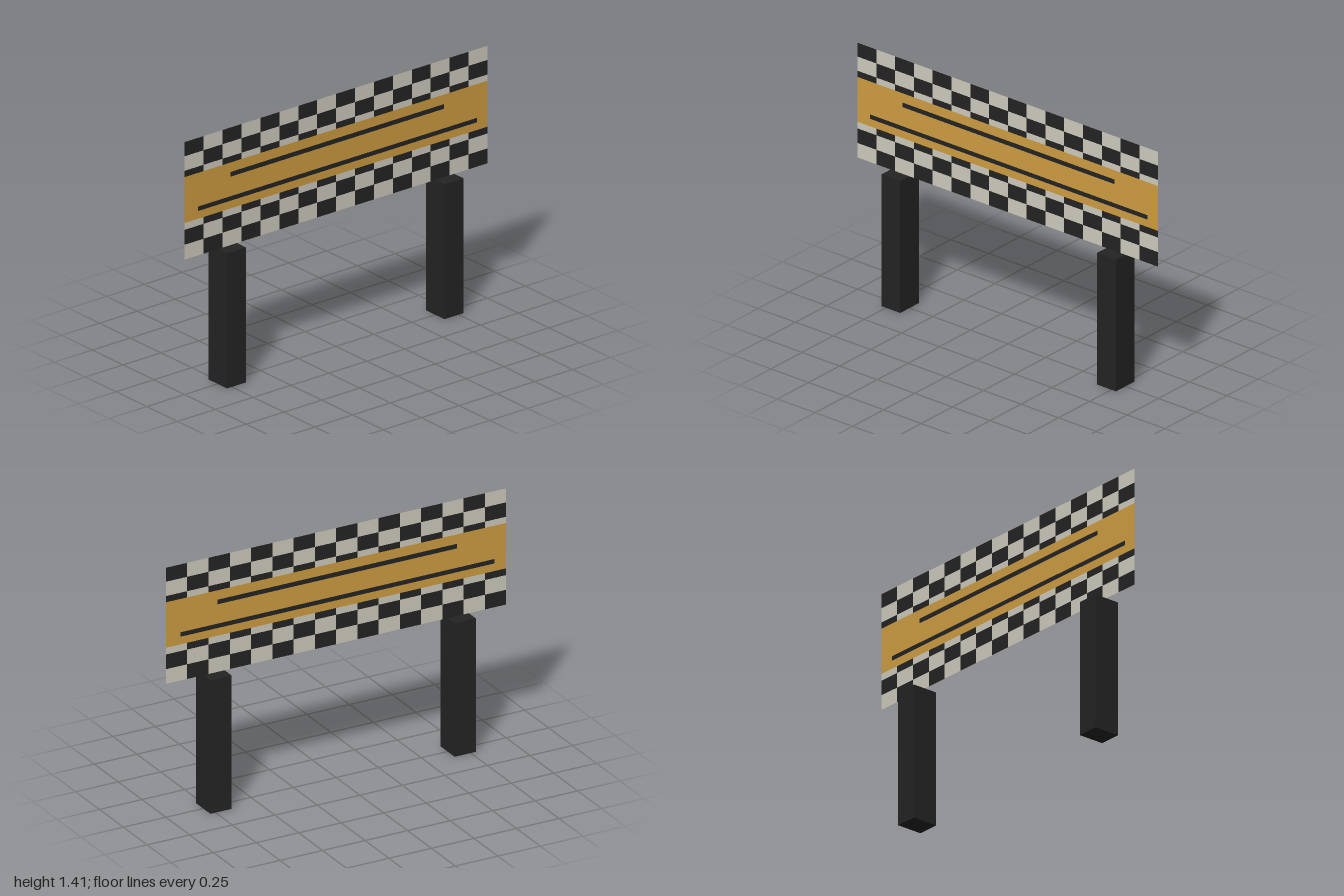
import * as THREE from 'three';
import { mergeGeometries } from 'three/addons/utils/BufferGeometryUtils.js';

// Flat rectangle facing +z, given by its edges
function rect(x0, x1, y0, y1, z) {
  return new THREE.PlaneGeometry(x1 - x0, y1 - y0).translate((x0 + x1) / 2, (y0 + y1) / 2, z);
}

export function createModel() {
  const black = new THREE.MeshStandardMaterial({ color: 0x242424 });
  black.name = 'black';
  const cream = new THREE.MeshStandardMaterial({ color: 0xd0ccbf });
  cream.name = 'cream';
  const amber = new THREE.MeshStandardMaterial({ color: 0xd09e42 });
  amber.name = 'amber';

  const model = new THREE.Group();
  model.name = 'checkeredSign';
  const add = (parent, name, geometry, material) => {
    const mesh = new THREE.Mesh(geometry, material);
    mesh.name = name;
    parent.add(mesh);
    return mesh;
  };

  // Two square posts
  for (const [name, side] of [['leftPost', 1], ['rightPost', -1]]) {
    add(model, name, new THREE.BoxGeometry(0.125, 0.752, 0.15), black).position.set(side * 0.718, 0.376, 0);
  }

  // Checker rows: bottom, top, and whether the first cell is black
  const rows = [
    [1.328, 1.407, true], [1.247, 1.328, false], [1.212, 1.247, true],
    [0.918, 0.956, false], [0.835, 0.918, true], [0.752, 0.835, false],
  ];
  const columns = 16, cell = 2 / columns, z = 0.001;

  // Each side of the thin board carries the same artwork
  for (const [name, turn] of [['frontPanel', 0], ['backPanel', Math.PI]]) {
    const panel = new THREE.Group();
    panel.name = name;
    panel.rotation.y = turn;
    model.add(panel);

    const dark = [], light = [];
    for (const [y0, y1, startsBlack] of rows) {
      for (let i = 0; i < columns; i++) {
        const x = -1 + i * cell;
        const isBlack = (i % 2 === 0) === startsBlack;
        (isBlack ? dark : light).push(rect(x, x + cell, y0, y1, z));
      }
    }
    add(panel, 'blackChecks', mergeGeometries(dark), black);
    add(panel, 'creamChecks', mergeGeometries(light), cream);

    // Amber band with two thin dark bars
    add(panel, 'amberBand', rect(-1, 1, 0.956, 1.212, z), amber);
    add(panel, 'upperBar', rect(-0.698, 0.711, 1.134, 1.16, z + 0.002), black);
    add(panel, 'lowerBar', rect(-0.915, 0.93, 1.0, 1.025, z + 0.002), black);
  }
  return model;
}
